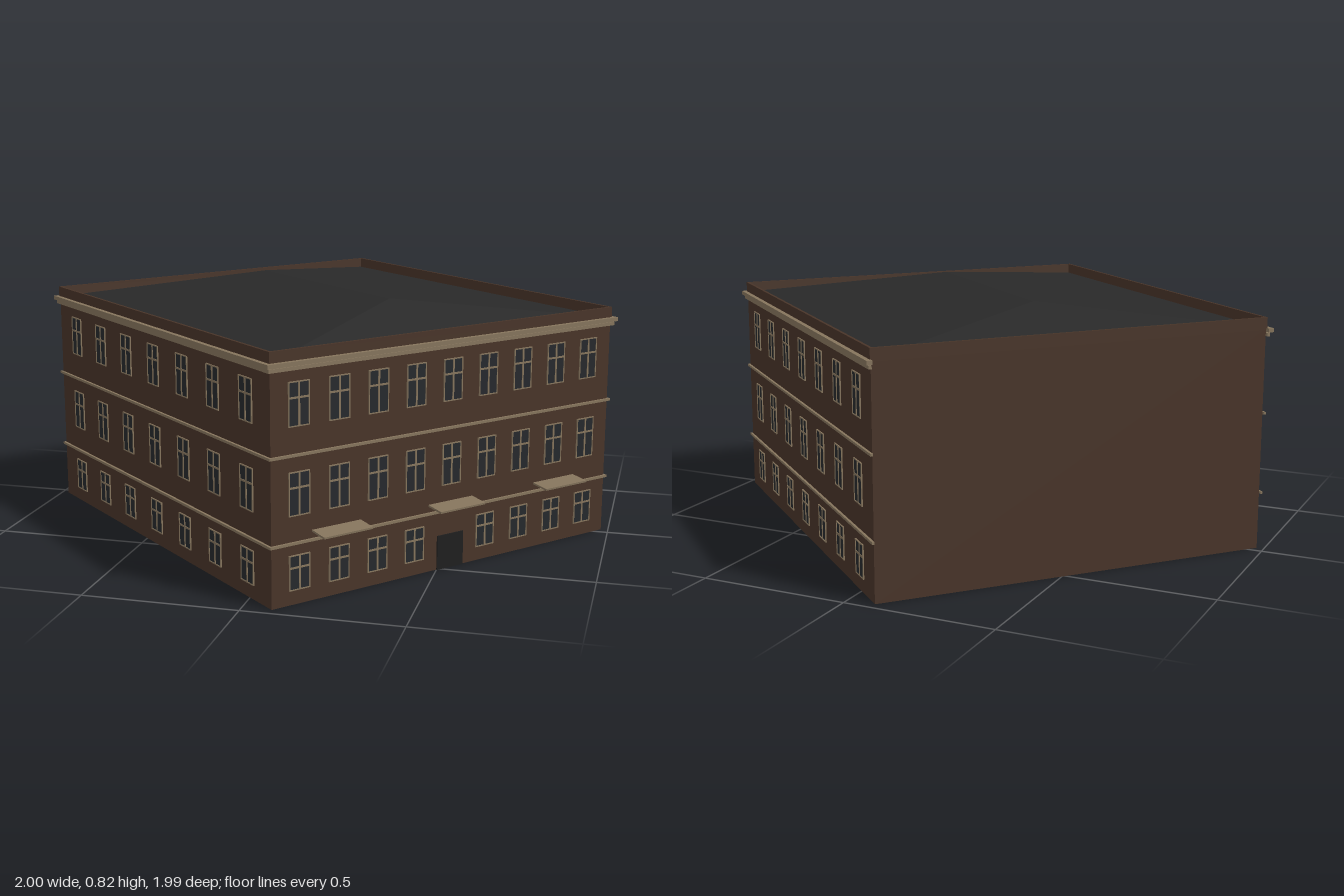
import * as THREE from 'three';

const W = 1.335, D = 1.425;            // footprint: street side and depth
const EAVES = 0.738, TOP = 0.775, RIDGE = 0.82;

const mat = (name, color, side = THREE.FrontSide) => {
  const m = new THREE.MeshStandardMaterial({ color, side });
  m.name = name;
  return m;
};

export function createModel() {
  const brick = mat('brown wall', 0x483428);
  const trim = mat('beige trim', 0x85745c);
  const slate = mat('dark roof', 0x292929, THREE.DoubleSide);
  const glass = mat('window glass', 0x25282c);
  const doorMat = mat('door black', 0x1e1e1e);

  const add = (parent, name, geo, material, x = 0, y = 0, z = 0) => {
    const m = new THREE.Mesh(geo, material);
    m.name = name;
    m.position.set(x, y, z);
    parent.add(m);
    return m;
  };
  const box = (parent, name, material, w, h, d, x, y, z) =>
    add(parent, name, new THREE.BoxGeometry(w, h, d), material, x, y, z);

  const rect = (C, x0, y0, x1, y1) => {
    const s = new C();
    s.moveTo(x0, y0);
    s.lineTo(x1, y0);
    s.lineTo(x1, y1);
    s.lineTo(x0, y1);
    s.closePath();
    return s;
  };

  // Window frame with four panes: centre mullion and a high transom
  const winW = 0.074;
  const frameGeo = (h) => {
    const a = winW / 2, e = 0.0035, b = 0.003, t = h * 0.64;
    const s = rect(THREE.Shape, -a, 0, a, h);
    for (const [x0, x1] of [[-a + e, -b], [b, a - e]])
      for (const [y0, y1] of [[e, t - b], [t + b, h - e]])
        s.holes.push(rect(THREE.Path, x0, y0, x1, y1));
    return new THREE.ExtrudeGeometry(s, { depth: 0.004, bevelEnabled: false });
  };
  const floors = [[0.045, 0.155], [0.275, 0.41], [0.545, 0.68]].map(([y0, y1]) => ({
    y: y0, h: y1 - y0,
    frame: frameGeo(y1 - y0),
    pane: new THREE.BoxGeometry(winW - 0.002, y1 - y0 - 0.002, 0.004),
  }));

  const building = new THREE.Group();
  building.name = 'building';
  building.rotation.y = 0.847;

  // Main block
  box(building, 'walls', brick, W, EAVES, D, 0, EAVES / 2, 0);

  // Parapet ring around the roof
  const o = 0.003, i = 0.006;
  const ring = rect(THREE.Shape, -W / 2 - o, -D / 2 - o, W / 2 + o, D / 2 + o);
  ring.holes.push(rect(THREE.Path, -W / 2 + i, -D / 2 + i, W / 2 - i, D / 2 - i));
  const ringGeo = new THREE.ExtrudeGeometry(ring, { depth: TOP - EAVES + 0.003, bevelEnabled: false });
  ringGeo.rotateX(-Math.PI / 2);
  add(building, 'parapet', ringGeo, brick, 0, EAVES - 0.003, 0);

  // Low hipped roof with its ridge running front to back
  const hw = W / 2 - 0.002, hd = D / 2 - 0.002, y = EAVES + 0.002;
  const FR = [hw, y, hd], FL = [-hw, y, hd], BR = [hw, y, -hd], BL = [-hw, y, -hd];
  const RF = [0, RIDGE, 0.38], RB = [0, RIDGE, -0.38];
  const tris = [FL, FR, RF, BR, BL, RB, FR, BR, RB, FR, RB, RF, BL, FL, RF, BL, RF, RB];
  const roofGeo = new THREE.BufferGeometry();
  roofGeo.setAttribute('position', new THREE.Float32BufferAttribute(tris.flat(), 3));
  roofGeo.computeVertexNormals();
  add(building, 'roof', roofGeo, slate);

  // One decorated side: cornice, string courses and rows of windows
  const facade = (name, width, offset, angle, count, step, hasDoor) => {
    const f = new THREE.Group();
    f.name = name;
    f.rotation.y = angle;
    f.position.set(Math.sin(angle) * offset, 0, Math.cos(angle) * offset);
    building.add(f);
    const strip = (label, y0, y1, d) =>
      box(f, label, trim, width + 2 * d, y1 - y0, d, 0, (y0 + y1) / 2, d / 2);
    strip('upperCornice', 0.728, 0.741, 0.018);
    strip('lowerCornice', 0.714, 0.725, 0.01);
    strip('upperStringCourse', 0.456, 0.464, 0.008);
    strip('lowerStringCourse', 0.188, 0.196, 0.008);
    floors.forEach((fl, level) => {
      for (let k = 0; k < count; k++) {
        if (hasDoor && level === 0 && k === (count - 1) / 2) continue;
        const x = (k - (count - 1) / 2) * step;
        add(f, 'windowPane', fl.pane, glass, x, fl.y + fl.h / 2, 0);
        add(f, 'windowFrame', fl.frame, trim, x, fl.y, 0);
      }
    });
    return f;
  };
  const front = facade('streetFacade', W, D / 2, 0, 9, 0.1425, true);
  facade('leftFacade', D, W / 2, Math.PI / 2, 7, 0.193, false);
  facade('rightFacade', D, W / 2, -Math.PI / 2, 7, 0.193, false);

  // Street door and three canopies
  box(front, 'door', doorMat, 0.104, 0.112, 0.008, 0, 0.056, 0);
  for (const x of [-0.436, 0, 0.436]) {
    const c = box(front, 'canopy', trim, 0.177, 0.006, 0.066, x, 0.215, 0.032);
    c.rotation.x = 0.1;
  }

  const model = new THREE.Group();
  model.name = 'cornerBuilding';
  model.add(building);
  return model;
}
